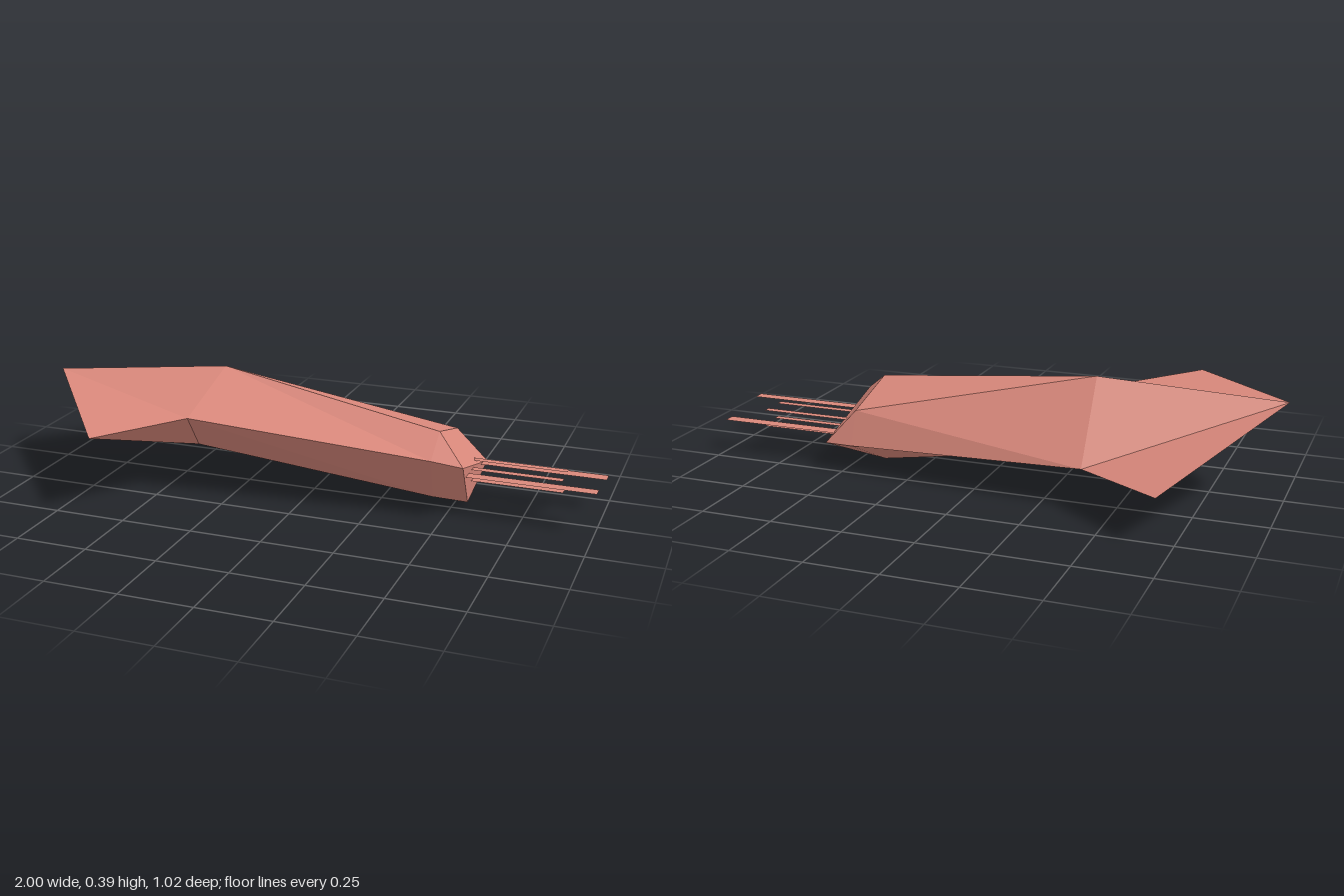
import * as THREE from 'three';

// Corner points of the faceted craft
const P = {
  tail: [-1, 0.345, 0],
  finL: [-0.605, 0.285, 0.51], finR: [-0.69, 0.157, -0.515],
  shoulderL: [-0.385, 0.29, 0.22], shoulderR: [-0.39, 0.14, -0.3],
  ridge: [-0.375, 0.395, -0.087], keel: [-0.45, 0.115, 0],
  upperL: [0.46, 0.285, 0.032], upperR: [0.46, 0.22, -0.208],
  sideL: [0.46, 0.213, 0.135], sideR: [0.46, 0.103, -0.25],
  keelEnd: [0.415, 0.004, -0.07],
  noseL: [0.57, 0.203, 0.135], noseR: [0.565, 0.1, -0.24],
  noseTop: [0.55, 0.155, -0.085], noseLow: [0.55, 0.018, -0.03],
};

// Builds flat facets from lists of corner names, fanning each polygon
function facets(name, material, faces) {
  const pos = [];
  for (const face of faces) {
    const c = face.split(' ').map((k) => P[k]);
    for (let i = 1; i < c.length - 1; i++) pos.push(...c[0], ...c[i], ...c[i + 1]);
  }
  const geo = new THREE.BufferGeometry();
  geo.setAttribute('position', new THREE.Float32BufferAttribute(pos, 3));
  geo.computeVertexNormals();
  const mesh = new THREE.Mesh(geo, material);
  mesh.name = name;
  return mesh;
}

export function createModel() {
  const group = new THREE.Group();
  group.name = 'dartShip';
  const coral = new THREE.MeshStandardMaterial({ color: 0xd9887b, side: THREE.DoubleSide });
  coral.name = 'coral hull';

  // Swept tail with a fin on each side
  group.add(facets('tailFins', coral, [
    'tail finL shoulderL', 'tail shoulderL ridge',
    'tail ridge shoulderR', 'tail shoulderR finR',
    'tail keel finL', 'finL keel shoulderL',
    'tail finR keel', 'finR shoulderR keel',
  ]));

  // Long tapering body
  group.add(facets('hull', coral, [
    'ridge shoulderL sideL upperL', 'ridge upperL upperR',
    'shoulderR ridge upperR sideR',
    'shoulderL keel keelEnd sideL', 'keel shoulderR sideR keelEnd',
  ]));

  // Blunt end cap
  group.add(facets('nose', coral, [
    'upperL sideL noseL', 'upperR upperL noseTop', 'upperL noseL noseTop',
    'upperR noseTop noseR', 'sideR upperR noseR',
    'sideL keelEnd noseLow noseL', 'keelEnd sideR noseR noseLow',
    'noseL noseLow noseR noseTop',
  ]));

  // Flat horizontal prongs: [tip x, y, centre z, width]
  const prongs = [
    [1, 0.12, -0.165, 0.046], [1, 0.148, 0.05, 0.042],
    [0.875, 0.15, -0.105, 0.028], [0.875, 0.09, -0.105, 0.028],
    [0.875, 0.15, -0.013, 0.028], [0.875, 0.1, -0.038, 0.028],
  ];
  const root = 0.545;
  for (const [tip, y, z, width] of prongs) {
    const geo = new THREE.PlaneGeometry(tip - root, width).rotateX(-Math.PI / 2);
    const prong = new THREE.Mesh(geo, coral);
    prong.position.set((tip + root) / 2, y, z);
    prong.name = 'prong';
    group.add(prong);
  }
  return group;
}
